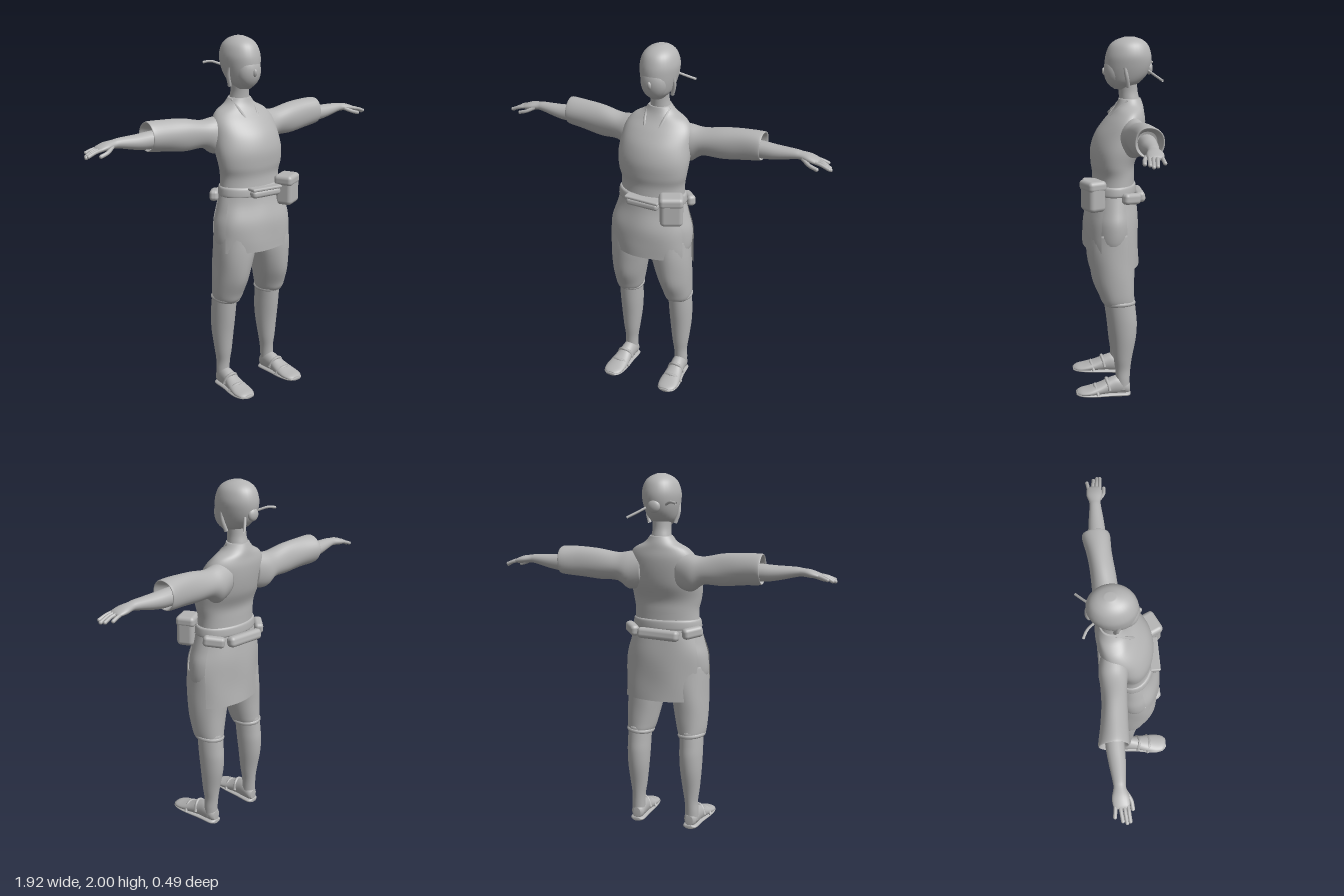
import * as THREE from 'three';
import { RoundedBoxGeometry } from 'three/addons/geometries/RoundedBoxGeometry.js';

const grey = new THREE.MeshStandardMaterial({ color: 0xb4b4b4, side: THREE.DoubleSide });
grey.name = 'plain grey';

// Catmull-Rom blend of four numbers
const blend = (a, b, c, d, t) =>
  0.5 * (2 * b + (c - a) * t + (2 * a - 5 * b + 4 * c - d) * t * t + (3 * b - a - 3 * c + d) * t ** 3);

// Smooth skin through elliptical rings [position, centreA, centreB, radiusA, radiusB].
// axis: y rings use (x, z), x rings use (y, z), z rings use (x, y).
// arc makes an open panel; fold adds soft cloth ripples.
function loft(rings, { axis = 'y', seg = 32, steps = 5, arc = null, fold = 0, waves = 5, caps = true } = {}) {
  const pos = [], index = [], closed = !arc;
  const [a0, a1] = arc || [0, Math.PI * 2];
  const cols = closed ? seg : seg + 1;
  const put = (t, a, b) => pos.push(...(axis === 'y' ? [a, t, b] : axis === 'x' ? [t, a, b] : [a, b, t]));
  const R = i => rings[Math.max(0, Math.min(rings.length - 1, i))];
  const rows = (rings.length - 1) * steps + 1;
  for (let r = 0; r < rows; r++) {
    const i = Math.min(Math.floor(r / steps), rings.length - 2), f = r / steps - i;
    const [t, ca, cb, ra, rb] = R(i).map((v, k) => blend(R(i - 1)[k], v, R(i + 1)[k], R(i + 2)[k], f));
    for (let j = 0; j < cols; j++) {
      const th = a0 + (a1 - a0) * j / seg;
      const k = 1 + fold * (Math.sin(waves * th + t * 9) + 0.6 * Math.sin((waves - 2) * th - t * 23));
      put(t, ca + ra * k * Math.cos(th), cb + rb * k * Math.sin(th));
    }
  }
  for (let r = 0; r < rows - 1; r++) for (let j = 0; j < seg; j++) {
    const p = r * cols + j, q = r * cols + (j + 1) % cols;
    index.push(p, p + cols, q, q, p + cols, q + cols);
  }
  if (closed && caps) [0, rows - 1].forEach(r => {
    const g = R(r ? rings.length - 1 : 0), c = pos.length / 3;
    put(g[0], g[1], g[2]);
    for (let j = 0; j < seg; j++) {
      const p = r * cols + j, q = r * cols + (j + 1) % cols;
      index.push(...(r ? [c, q, p] : [c, p, q]));
    }
  });
  // turn the faces outward using the enclosed volume
  const v = i => new THREE.Vector3().fromArray(pos, i * 3);
  let vol = 0;
  for (let i = 0; i < index.length; i += 3) vol += v(index[i]).dot(v(index[i + 1]).cross(v(index[i + 2])));
  if (vol < 0) index.reverse();
  const g = new THREE.BufferGeometry();
  g.setAttribute('position', new THREE.Float32BufferAttribute(pos, 3));
  g.setIndex(index);
  g.computeVertexNormals();
  return g;
}

const tube = (pts, r, n = 12) =>
  new THREE.TubeGeometry(new THREE.CatmullRomCurve3(pts.map(p => new THREE.Vector3(...p))), n, r, 8);

export function createModel() {
  const model = new THREE.Group();
  const add = (name, geo, p = [0, 0, 0], rot = [0, 0, 0], scale = [1, 1, 1]) => {
    const m = new THREE.Mesh(geo, grey);
    m.name = name;
    m.position.set(...p);
    m.rotation.set(...rot);
    m.scale.set(...scale);
    model.add(m);
    return m;
  };
  const ball = new THREE.SphereGeometry(1, 20, 14);
  const box = (w, h, d, r = 0.02) => new RoundedBoxGeometry(w, h, d, 3, r);

  // Head, face and neck
  add('head', loft([
    [1.72, 0, -0.03, 0.035, 0.04], [1.735, 0, -0.035, 0.052, 0.062], [1.76, 0, -0.045, 0.074, 0.09],
    [1.8, 0, -0.056, 0.089, 0.114], [1.85, 0, -0.064, 0.1, 0.125], [1.9, 0, -0.068, 0.103, 0.124],
    [1.95, 0, -0.07, 0.088, 0.106], [1.98, 0, -0.072, 0.06, 0.073], [1.997, 0, -0.074, 0.022, 0.026],
  ]));
  add('face', ball, [0, 1.815, 0.005], [0.08, 0, 0], [0.074, 0.092, 0.061]);
  add('nose', ball, [0, 1.812, 0.063], [0.25, 0, 0], [0.012, 0.022, 0.012]);
  add('neck', loft([
    [1.6, 0, -0.075, 0.065, 0.06], [1.66, 0, -0.073, 0.056, 0.056], [1.71, 0, -0.066, 0.05, 0.052],
    [1.77, 0, -0.06, 0.055, 0.055],
  ]));
  add('hairKnot', ball, [0, 1.83, -0.18], [0, 0, 0], [0.035, 0.035, 0.02]);
  add('leftHairTie', tube([[0.05, 1.82, -0.17], [0.09, 1.795, -0.205], [0.13, 1.772, -0.238]], 0.007));
  add('rightHairTie', tube([[-0.06, 1.84, -0.16], [-0.1, 1.855, -0.195], [-0.138, 1.85, -0.215]], 0.007));

  // Tunic body with crossed collar
  add('tunic', loft([
    [1.14, 0, 0.022, 0.19, 0.122], [1.25, 0, 0.015, 0.183, 0.115], [1.32, 0, 0.018, 0.196, 0.121],
    [1.4, 0, 0.002, 0.205, 0.138], [1.48, 0, -0.02, 0.2, 0.134], [1.55, 0, -0.047, 0.19, 0.112],
    [1.6, 0, -0.066, 0.155, 0.086], [1.635, 0, -0.074, 0.092, 0.072], [1.67, 0, -0.074, 0.061, 0.06],
  ], { seg: 48, fold: 0.009 }));
  add('leftCollar', tube([[0.06, 1.66, -0.06], [0.055, 1.61, 0.0], [0.03, 1.54, 0.055], [-0.01, 1.46, 0.107]], 0.009));
  add('rightCollar', tube([[-0.06, 1.66, -0.06], [-0.055, 1.61, 0.0], [-0.03, 1.54, 0.055], [0, 1.49, 0.09]], 0.009));

  // Trousers seat and skirt panels
  add('trouserSeat', loft([
    [0.84, 0, 0.035, 0.2, 0.1], [0.9, 0, 0.035, 0.234, 0.132], [1.0, 0, 0.03, 0.236, 0.14],
    [1.08, 0, 0.025, 0.215, 0.13], [1.17, 0, 0.02, 0.19, 0.12],
  ], { seg: 48, fold: 0.008 }));
  add('frontPanel', loft([
    [0.855, 0, 0.035, 0.243, 0.152], [0.93, 0, 0.033, 0.244, 0.154], [1.02, 0, 0.03, 0.238, 0.15],
    [1.12, 0, 0.022, 0.208, 0.13], [1.2, 0, 0.02, 0.19, 0.121],
  ], { arc: [0.45, 2.75], fold: 0.01, waves: 7 }));
  add('backPanel', loft([
    [0.755, 0.015, 0.01, 0.232, 0.135], [0.86, 0.01, 0.012, 0.236, 0.133], [1.0, 0.005, 0.018, 0.236, 0.138],
    [1.1, 0, 0.02, 0.212, 0.132], [1.18, 0, 0.02, 0.19, 0.121],
  ], { arc: [3.65, 5.85], fold: 0.009, waves: 7 }));

  // Belt with pouches
  add('belt', loft([
    [1.155, 0, 0.02, 0.192, 0.125], [1.165, 0, 0.02, 0.199, 0.13],
    [1.2, 0, 0.019, 0.195, 0.127], [1.21, 0, 0.018, 0.187, 0.118],
  ]));
  add('hipPouch', box(0.125, 0.15, 0.1, 0.025), [0.168, 1.158, 0.14], [0, 0.45, 0]);
  add('hipPouchLid', box(0.132, 0.06, 0.108, 0.022), [0.166, 1.222, 0.14], [0, 0.45, 0]);
  add('frontPouch', box(0.19, 0.042, 0.05, 0.018), [0.003, 1.175, 0.152], [0, 0, -0.03]);
  add('frontPouchLid', box(0.2, 0.018, 0.058, 0.008), [0.003, 1.2, 0.15], [0, 0, -0.04]);
  add('backPack', box(0.24, 0.06, 0.055, 0.022), [0, 1.135, -0.125], [0.15, 0, 0.04]);
  for (const s of [1, -1])
    add(s > 0 ? 'leftSidePack' : 'rightSidePack', box(0.12, 0.06, 0.05, 0.02),
      [s * 0.178, 1.147, -0.067], [0, -s * 0.85, s * 0.12]);

  for (const s of [1, -1]) {
    const side = s > 0 ? 'left' : 'right';
    const alongX = rings => rings.map(([t, ...rest]) => [s * t, ...rest]);
    const acrossX = rings => rings.map(([t, a, ...rest]) => [t, s * a, ...rest]);

    // Wide sleeve, its rim turned inward
    add(side + 'Sleeve', loft(alongX([
      [0.1, 1.49, -0.07, 0.1, 0.07], [0.18, 1.475, -0.08, 0.102, 0.078], [0.25, 1.492, -0.085, 0.077, 0.069],
      [0.36, 1.502, -0.09, 0.086, 0.066], [0.47, 1.512, -0.1, 0.084, 0.068], [0.565, 1.517, -0.11, 0.08, 0.076],
      [0.575, 1.517, -0.11, 0.072, 0.068], [0.55, 1.515, -0.11, 0.062, 0.06], [0.5, 1.51, -0.108, 0.052, 0.05],
    ]), { axis: 'x', fold: 0.018, waves: 4 }));

    // Forearm and palm
    add(side + 'Arm', loft(alongX([
      [0.45, 1.503, -0.105, 0.048, 0.048], [0.57, 1.5, -0.105, 0.047, 0.047], [0.65, 1.502, -0.102, 0.04, 0.043],
      [0.75, 1.512, -0.1, 0.027, 0.032], [0.785, 1.512, -0.1, 0.022, 0.031], [0.83, 1.507, -0.1, 0.021, 0.042],
      [0.87, 1.499, -0.098, 0.015, 0.04], [0.885, 1.496, -0.098, 0.007, 0.03],
    ]), { axis: 'x', seg: 20 }));

    // Fingers: z at the knuckle, then tip x, y, z
    [[-0.068, 0.945, 1.478, -0.062], [-0.087, 0.95, 1.47, -0.078],
      [-0.107, 0.94, 1.472, -0.098], [-0.126, 0.92, 1.482, -0.134]].forEach(([z, x, y, tz], i) => {
      add(side + 'Finger' + (i + 1), tube([[s * 0.86, 1.5, z], [s * (0.86 + x) / 2, 1.493, (z + tz) / 2], [s * x, y, tz]], 0.0095));
      add(side + 'Fingertip' + (i + 1), ball, [s * x, y, tz], [0, 0, 0], [0.0095, 0.0095, 0.0095]);
    });
    add(side + 'Thumb', tube([[s * 0.8, 1.505, -0.075], [s * 0.845, 1.485, -0.05], [s * 0.885, 1.473, -0.045]], 0.0105));
    add(side + 'ThumbTip', ball, [s * 0.885, 1.473, -0.045], [0, 0, 0], [0.0105, 0.0105, 0.0105]);

    // Baggy trouser leg, gathered below the knee
    add(side + 'TrouserLeg', loft(acrossX([
      [0.54, 0.155, 0.0, 0.062, 0.075], [0.56, 0.153, 0.003, 0.076, 0.09], [0.6, 0.15, 0.01, 0.085, 0.098],
      [0.68, 0.142, 0.025, 0.095, 0.115], [0.77, 0.132, 0.032, 0.104, 0.125], [0.86, 0.122, 0.035, 0.112, 0.128],
      [0.95, 0.12, 0.035, 0.11, 0.12],
    ]), { fold: 0.014 }));
    add(side + 'KneeTie', new THREE.TorusGeometry(0.066, 0.013, 8, 28), [s * 0.155, 0.553, -0.005],
      [Math.PI / 2, 0.08 * s, 0], [1, 1.15, 1]);

    // Shin and ankle
    add(side + 'Shin', loft(acrossX([
      [0.04, 0.165, -0.02, 0.038, 0.04], [0.1, 0.165, -0.022, 0.038, 0.04], [0.16, 0.162, -0.023, 0.038, 0.043],
      [0.23, 0.161, -0.023, 0.048, 0.052], [0.34, 0.16, -0.028, 0.06, 0.068], [0.43, 0.159, -0.025, 0.065, 0.077],
      [0.5, 0.158, -0.018, 0.066, 0.078], [0.58, 0.155, -0.01, 0.066, 0.078],
    ])));

    // Foot with sandal sole and straps
    add(side + 'Foot', loft(acrossX([
      [-0.062, 0.162, 0.05, 0.022, 0.03], [-0.045, 0.163, 0.055, 0.036, 0.042], [0.0, 0.165, 0.066, 0.041, 0.056],
      [0.05, 0.168, 0.062, 0.043, 0.049], [0.11, 0.172, 0.049, 0.052, 0.034], [0.17, 0.176, 0.04, 0.058, 0.023],
      [0.215, 0.177, 0.036, 0.05, 0.017], [0.237, 0.176, 0.034, 0.028, 0.01],
    ]), { axis: 'z' }));
    add(side + 'Sole', loft(acrossX([
      [-0.066, 0.162, 0.012, 0.022, 0.01], [-0.045, 0.163, 0.014, 0.042, 0.014], [0.04, 0.167, 0.018, 0.047, 0.014],
      [0.15, 0.175, 0.025, 0.06, 0.013], [0.215, 0.177, 0.029, 0.052, 0.012], [0.242, 0.176, 0.031, 0.028, 0.008],
    ]), { axis: 'z' }));
    [[0.13, 0.173, 0.028, 0.058, 0.043], [0.065, 0.169, 0.05, 0.047, 0.056]].forEach(([z, x, y, rx, ry], i) =>
      add(side + 'SandalStrap' + (i + 1),
        tube([[s * (x - rx), y, z - 0.01], [s * (x - rx * 0.6), y + ry * 0.75, z], [s * x, y + ry, z + 0.008],
          [s * (x + rx * 0.6), y + ry * 0.75, z], [s * (x + rx), y, z - 0.01]], 0.009, 16)));

    // Lock of hair beside the jaw
    add(side + 'HairLock', tube([[s * 0.088, 1.84, -0.04], [s * 0.09, 1.79, -0.05], [s * 0.074, 1.735, -0.06]], 0.011));
  }
  return model;
}
